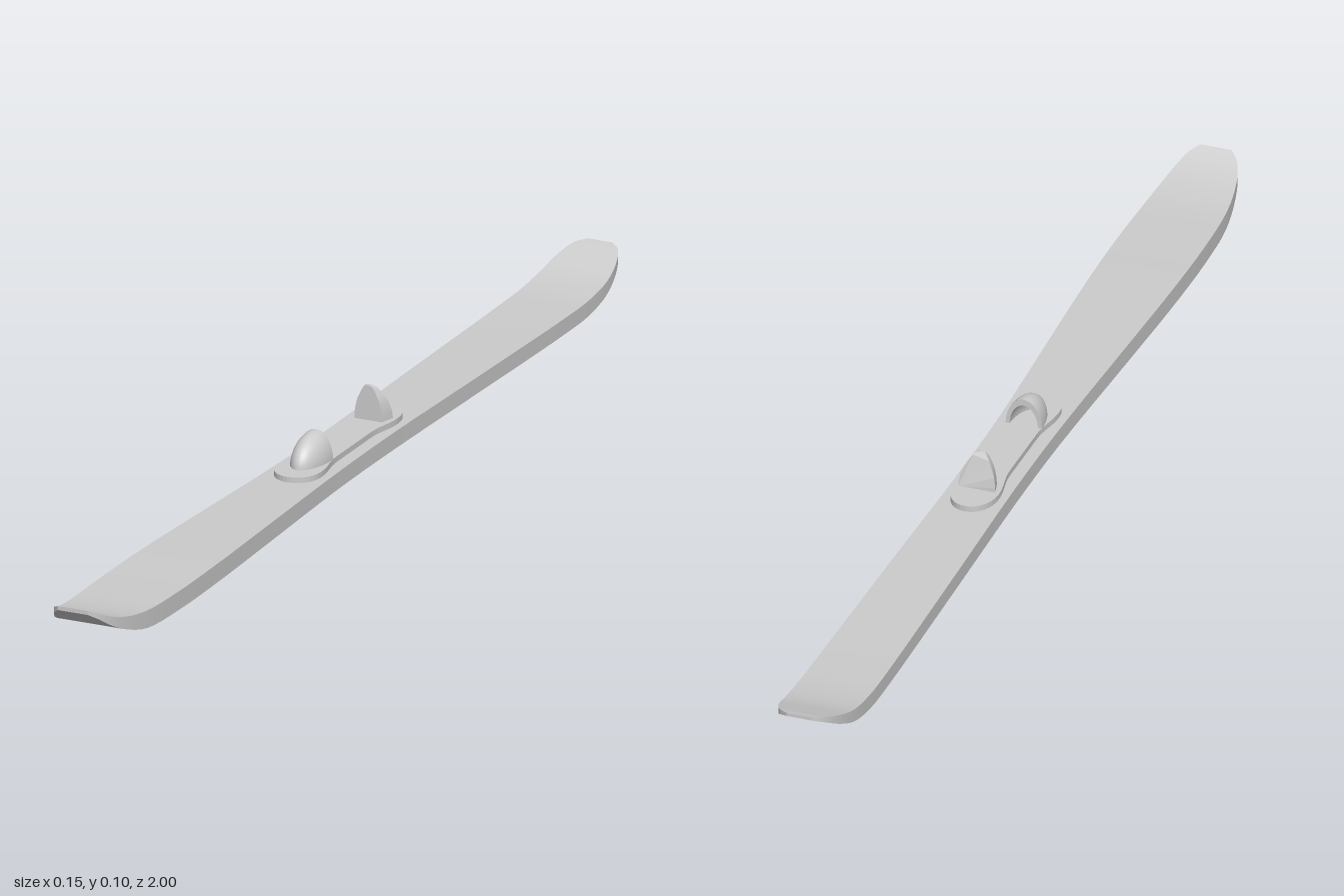
import * as THREE from 'three';

const material = new THREE.MeshStandardMaterial({ color: 0xcccccc, side: THREE.DoubleSide });

function part(name, geometry, parent) {
  const mesh = new THREE.Mesh(geometry, material);
  mesh.name = name;
  parent.add(mesh);
  return mesh;
}

// Stations from tail to tip: z, half width, bottom y, top y
const STATIONS = [
  [-1, 0.022, 0.064, 0.07], [-0.985, 0.04, 0.056, 0.066], [-0.95, 0.054, 0.037, 0.054],
  [-0.9, 0.061, 0.016, 0.039], [-0.83, 0.063, 0.003, 0.03], [-0.75, 0.063, 0, 0.028],
  [-0.4, 0.058, 0, 0.029], [-0.1, 0.053, 0, 0.03], [0.1, 0.054, 0, 0.03],
  [0.4, 0.065, 0, 0.032], [0.6, 0.072, 0, 0.033], [0.75, 0.073, 0, 0.033],
  [0.86, 0.069, 0.004, 0.035], [0.92, 0.062, 0.02, 0.043], [0.96, 0.053, 0.038, 0.054],
  [0.985, 0.042, 0.055, 0.065], [1, 0.028, 0.066, 0.073],
];

// Ski body: a box whose long edges follow the top and bottom rails
function skiGeometry() {
  const rail = (i) => new THREE.CatmullRomCurve3(
    STATIONS.map((s) => new THREE.Vector3(s[1], s[i], s[0])));
  const bottom = rail(2), top = rail(3);
  const g = new THREE.BoxGeometry(2, 2, 2, 2, 1, 64);
  const p = g.attributes.position;
  for (let i = 0; i < p.count; i++) {
    const q = (p.getY(i) > 0 ? top : bottom).getPoint((p.getZ(i) + 1) / 2);
    p.setXYZ(i, p.getX(i) * q.x, q.y, q.z);
  }
  g.computeVertexNormals();
  return g;
}

// Binding plate: rounded ends with a narrower middle
function plateGeometry() {
  const s = new THREE.Shape();
  s.moveTo(0.03, -0.06);
  s.bezierCurveTo(0.03, -0.09, 0.04, -0.11, 0.04, -0.14);
  s.bezierCurveTo(0.04, -0.17, 0.022, -0.187, 0, -0.187);
  s.bezierCurveTo(-0.022, -0.187, -0.04, -0.17, -0.04, -0.14);
  s.bezierCurveTo(-0.04, -0.11, -0.03, -0.09, -0.03, -0.06);
  s.lineTo(-0.03, 0.07);
  s.bezierCurveTo(-0.03, 0.1, -0.04, 0.12, -0.04, 0.15);
  s.bezierCurveTo(-0.04, 0.185, -0.022, 0.206, 0, 0.206);
  s.bezierCurveTo(0.022, 0.206, 0.04, 0.185, 0.04, 0.15);
  s.bezierCurveTo(0.04, 0.12, 0.03, 0.1, 0.03, 0.07);
  const g = new THREE.ExtrudeGeometry(s, { depth: 0.012, bevelEnabled: false, curveSegments: 8 });
  return g.rotateX(-Math.PI / 2).translate(0, 0.028, 0);
}

// Toe piece: hollow quarter dome, open towards the heel
function addToePiece(parent) {
  const toe = new THREE.Group();
  toe.name = 'toePiece';
  const arc = (r) => Array.from({ length: 13 }, (_, i) => {
    const a = (i / 12) * Math.PI / 2;
    return new THREE.Vector2(r * Math.cos(a), r * Math.sin(a));
  });
  for (const [name, r] of [['toeShell', 1], ['toeLining', 0.78]]) {
    part(name, new THREE.LatheGeometry(arc(r), 20, -Math.PI / 2, Math.PI), toe);
  }
  part('toeRim', new THREE.RingGeometry(0.78, 1, 20, 1, 0, Math.PI).rotateY(Math.PI), toe);
  toe.scale.set(0.032, 0.051, 0.073);
  toe.position.set(0, 0.038, 0.078);
  parent.add(toe);
}

// Heel piece: upright fin with a leaning back and a slightly narrower front
function heelGeometry() {
  const s = new THREE.Shape();
  s.moveTo(-0.033, 0.036);
  s.lineTo(0.033, 0.036);
  s.splineThru([[0.031, 0.056], [0.026, 0.074], [0.018, 0.088], [0.009, 0.099], [0, 0.101]]
    .map(([x, y]) => new THREE.Vector2(x, y)));
  s.splineThru([[-0.009, 0.099], [-0.018, 0.088], [-0.026, 0.074], [-0.031, 0.056], [-0.033, 0.036]]
    .map(([x, y]) => new THREE.Vector2(x, y)));
  const g = new THREE.ExtrudeGeometry(s, { depth: 1, bevelEnabled: false, curveSegments: 4 });
  const p = g.attributes.position;
  for (let i = 0; i < p.count; i++) {
    const front = p.getZ(i) > 0.5;
    const t = (p.getY(i) - 0.036) / 0.065;
    p.setX(i, p.getX(i) * (front ? 0.78 : 1));
    p.setZ(i, front ? -0.12 : -0.147 + 0.02 * t * t);
  }
  g.computeVertexNormals();
  return g;
}

export function createModel() {
  const model = new THREE.Group();
  model.name = 'ski';
  part('skiBody', skiGeometry(), model);
  part('bindingPlate', plateGeometry(), model);
  addToePiece(model);
  part('heelPiece', heelGeometry(), model);
  return model;
}
